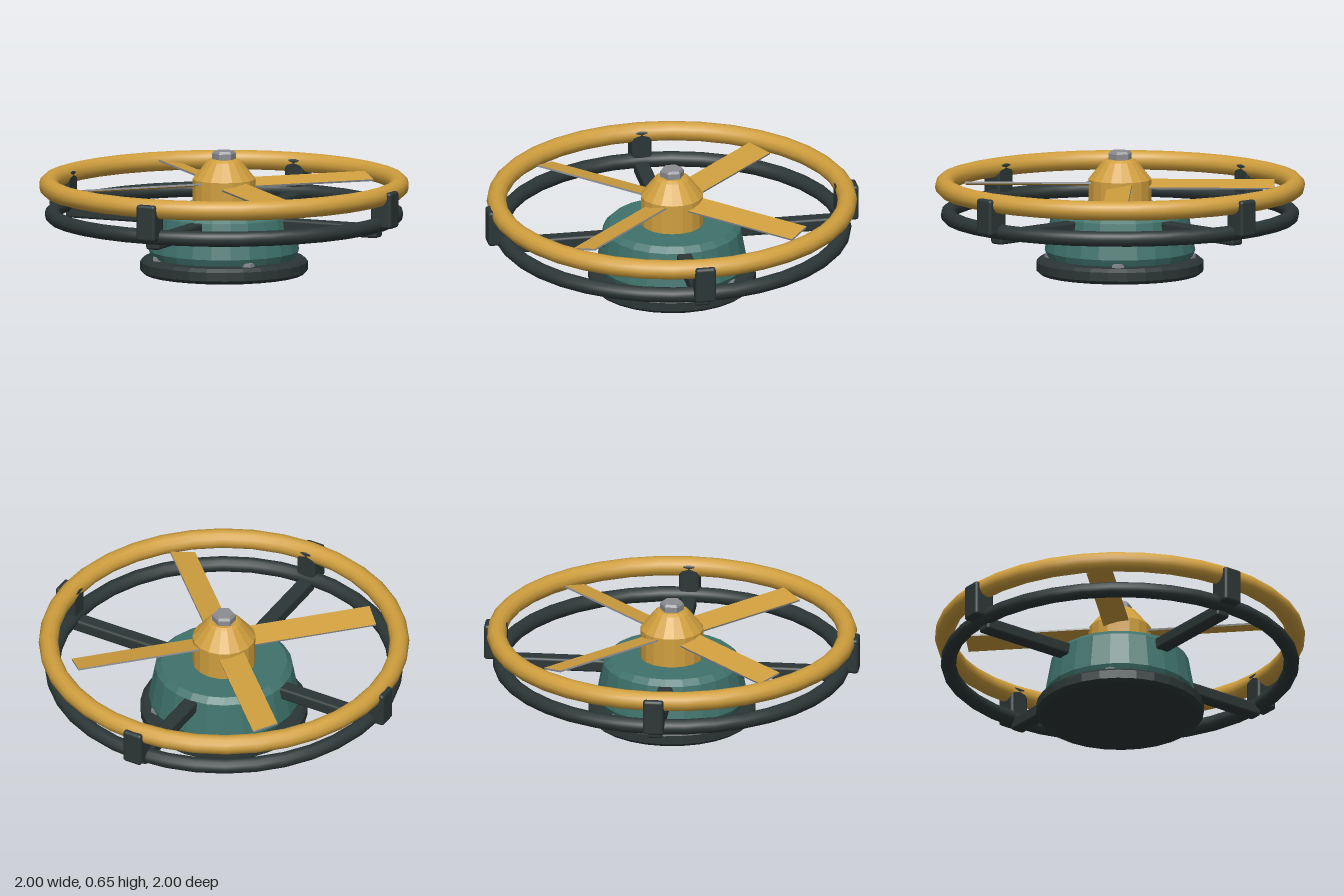
import * as THREE from 'three';
import { RoundedBoxGeometry } from 'three/addons/geometries/RoundedBoxGeometry.js';

export function createModel() {
  const model = new THREE.Group();
  const mat = (name, color, flatShading = false) => {
    const m = new THREE.MeshStandardMaterial({ color, flatShading });
    m.name = name;
    return m;
  };
  const gold = mat('gold', 0xd09f3e);
  const teal = mat('teal', 0x3f726b);
  const dark = mat('charcoal', 0x2c3636);
  const steel = mat('steel', 0x8b8d92);

  const add = (name, geometry, material, parent = model) => {
    const mesh = new THREE.Mesh(geometry, material);
    mesh.name = name;
    parent.add(mesh);
    return mesh;
  };
  // Faceted turned part from [radius, height] pairs, bottom to top
  const turned = (profile, sides) => {
    const g = new THREE.LatheGeometry(profile.map(([r, y]) => new THREE.Vector2(r, y)), sides).toNonIndexed();
    g.computeVertexNormals();
    return g;
  };

  // Central stack: foot, housing, hub and nut
  add('base', turned([[0, 0], [0.425, 0], [0.445, 0.018], [0.445, 0.065], [0.425, 0.083], [0, 0.083]], 28), dark);
  add('housing', turned([[0, 0.09], [0.385, 0.09], [0.4, 0.125], [0.366, 0.315], [0.335, 0.345], [0, 0.345]], 24), teal);
  add('hub', turned([[0, 0.33], [0.168, 0.33], [0.168, 0.505], [0.092, 0.6], [0.075, 0.612], [0, 0.612]], 18), gold);
  add('topNut', turned([[0, 0.605], [0.064, 0.605], [0.064, 0.642], [0.054, 0.655], [0, 0.655]], 6), steel);

  // Guard rings
  const ring = (name, radius, tube, y, material) => {
    const mesh = add(name, new THREE.TorusGeometry(radius, tube, 12, 36), material);
    mesh.rotation.x = Math.PI / 2;
    mesh.position.y = y;
  };
  ring('upperRing', 0.932, 0.052, 0.47, gold);
  ring('lowerRing', 0.912, 0.041, 0.316, dark);

  for (let i = 0; i < 4; i++) {
    // Spoke and clip on the main axes
    const arm = new THREE.Group();
    arm.name = 'arm';
    arm.rotation.y = i * Math.PI / 2;
    model.add(arm);
    add('spoke', new RoundedBoxGeometry(0.08, 0.07, 0.61, 2, 0.014), dark, arm).position.set(0, 0.28, 0.605);
    add('clip', new RoundedBoxGeometry(0.11, 0.195, 0.12, 2, 0.016), dark, arm).position.set(0, 0.398, 0.94);

    // Pitched blade and housing bolt on the diagonals
    const diagonal = new THREE.Group();
    diagonal.name = 'bladeArm';
    diagonal.rotation.y = Math.PI / 4 + i * Math.PI / 2;
    model.add(diagonal);
    const blade = add('blade', new THREE.BoxGeometry(0.137, 0.01, 0.72),
      [steel, steel, gold, gold, steel, steel], diagonal);
    blade.position.set(0, 0.478, 0.46);
    blade.rotation.z = 0.2;
    add('bolt', turned([[0.036, 0.075], [0.036, 0.105], [0, 0.11]], 6), steel, diagonal).position.z = 0.365;
  }
  return model;
}
